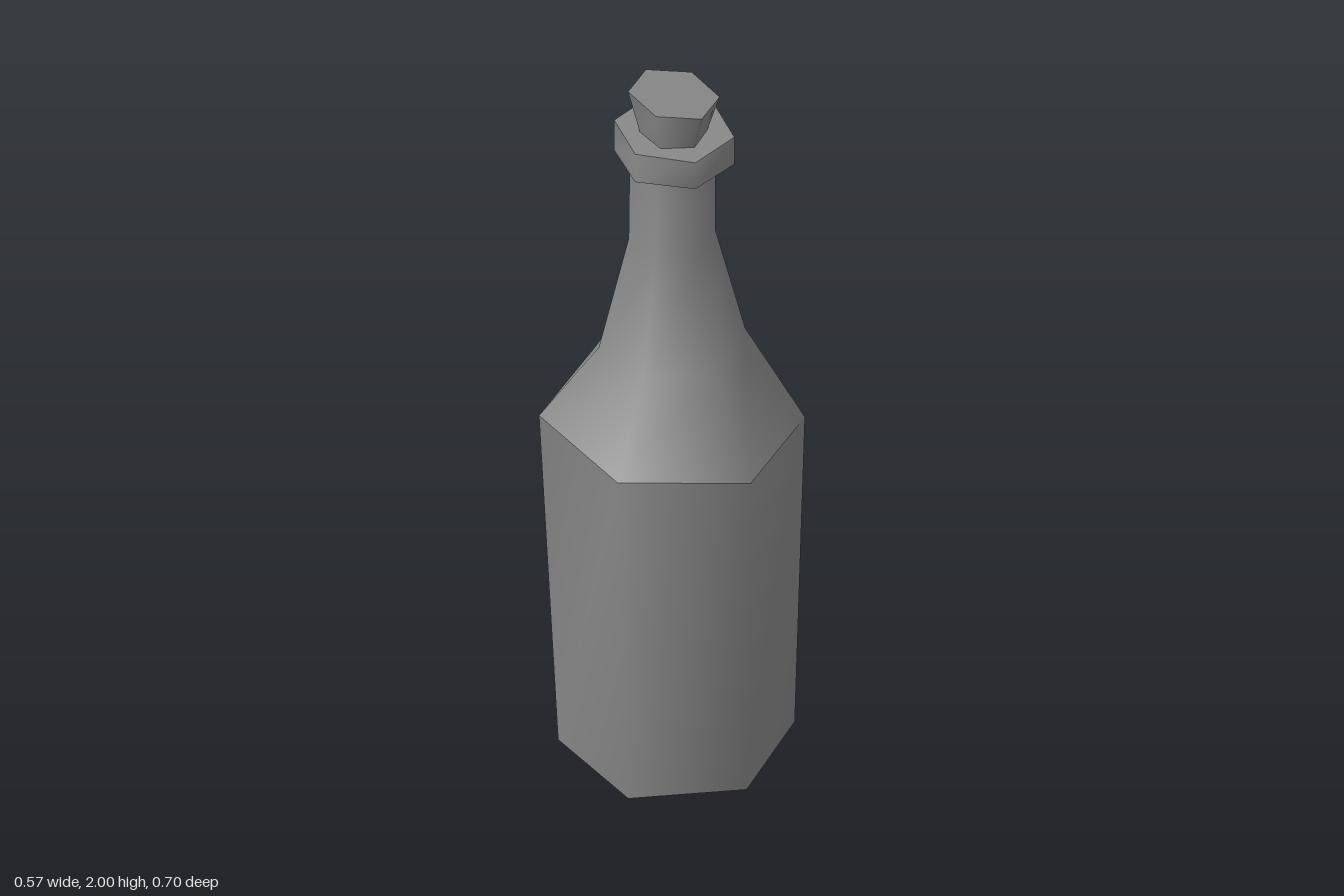
import * as THREE from 'three';

const SIDES = 6;

// One slightly tilted six-sided cross-section: centre, radii, first corner angle, slope along x and z
function ring({ x = 0, y, z = 0, rx, rz = rx, start = 30, sx = 0, sz = 0 }) {
  return Array.from({ length: SIDES }, (_, i) => {
    const a = THREE.MathUtils.degToRad(start + (i * 360) / SIDES);
    const px = x + rx * Math.cos(a), pz = z + rz * Math.sin(a);
    return [px, y + sx * px + sz * pz, pz];
  });
}

function makeGeometry(points, index) {
  const g = new THREE.BufferGeometry();
  g.setAttribute('position', new THREE.Float32BufferAttribute(points.flat(), 3));
  g.setIndex(index);
  g.computeVertexNormals();
  return g;
}

// Smooth wall through a stack of rings, from bottom to top
function wall(rings) {
  const index = [];
  for (let r = 0; r < rings.length - 1; r++) {
    for (let i = 0; i < SIDES; i++) {
      const a = r * SIDES + i, b = r * SIDES + ((i + 1) % SIDES);
      index.push(a, a + SIDES, b, b, a + SIDES, b + SIDES);
    }
  }
  return makeGeometry(rings.flat(), index);
}

// Flat end face
function cap(points, up) {
  const index = [];
  for (let i = 1; i < SIDES - 1; i++) index.push(0, ...(up ? [i + 1, i] : [i, i + 1]));
  return makeGeometry(points, index);
}

export function createModel() {
  const model = new THREE.Group();
  const grey = new THREE.MeshStandardMaterial({ color: 0x8a8a8a });
  grey.name = 'bottle grey';

  const add = (name, geometry, parent = model) => {
    const mesh = new THREE.Mesh(geometry, grey);
    mesh.name = name;
    parent.add(mesh);
  };
  const closed = (name, bottom, top) => {
    const group = new THREE.Group();
    group.name = name;
    add(name + 'Side', wall([bottom, top]), group);
    add(name + 'Top', cap(top, true), group);
    add(name + 'Underside', cap(bottom, false), group);
    model.add(group);
  };

  // Body widens towards the slanted shoulder
  const base = ring({ x: 0.01, y: 0.009, rx: 0.294, rz: 0.31, sx: -0.015, sz: 0.01 });
  const shoulder = ring({ x: -0.002, y: 0.985, rx: 0.33, rz: 0.35, sx: -0.08, sz: 0.1 });
  add('body', wall([base, shoulder]));
  add('bodyUnderside', cap(base, false));

  // Shoulder tapers smoothly into the neck
  add('shoulderAndNeck', wall([
    shoulder,
    ring({ x: -0.002, y: 1.23, rx: 0.183, rz: 0.187, sx: 0.05, sz: -0.04 }),
    ring({ x: -0.003, y: 1.55, z: -0.003, rx: 0.109, sx: 0.03 }),
    ring({ x: -0.002, y: 1.83, z: -0.003, rx: 0.107 }),
  ]));

  // Collar, turned against the body
  const collar = { z: -0.01, rx: 0.152, start: -13, sx: -0.04, sz: 0.04 };
  closed('collar',
    ring({ ...collar, y: 1.787, sx: 0, sz: 0.07 }),
    ring({ ...collar, y: 1.876 }));

  // Flared, tilted cork
  closed('cork',
    ring({ x: 0.003, y: 1.865, rx: 0.082 }),
    ring({ x: -0.002, y: 1.981, z: -0.012, rx: 0.115, sx: -0.14, sz: 0.09 }));

  return model;
}
